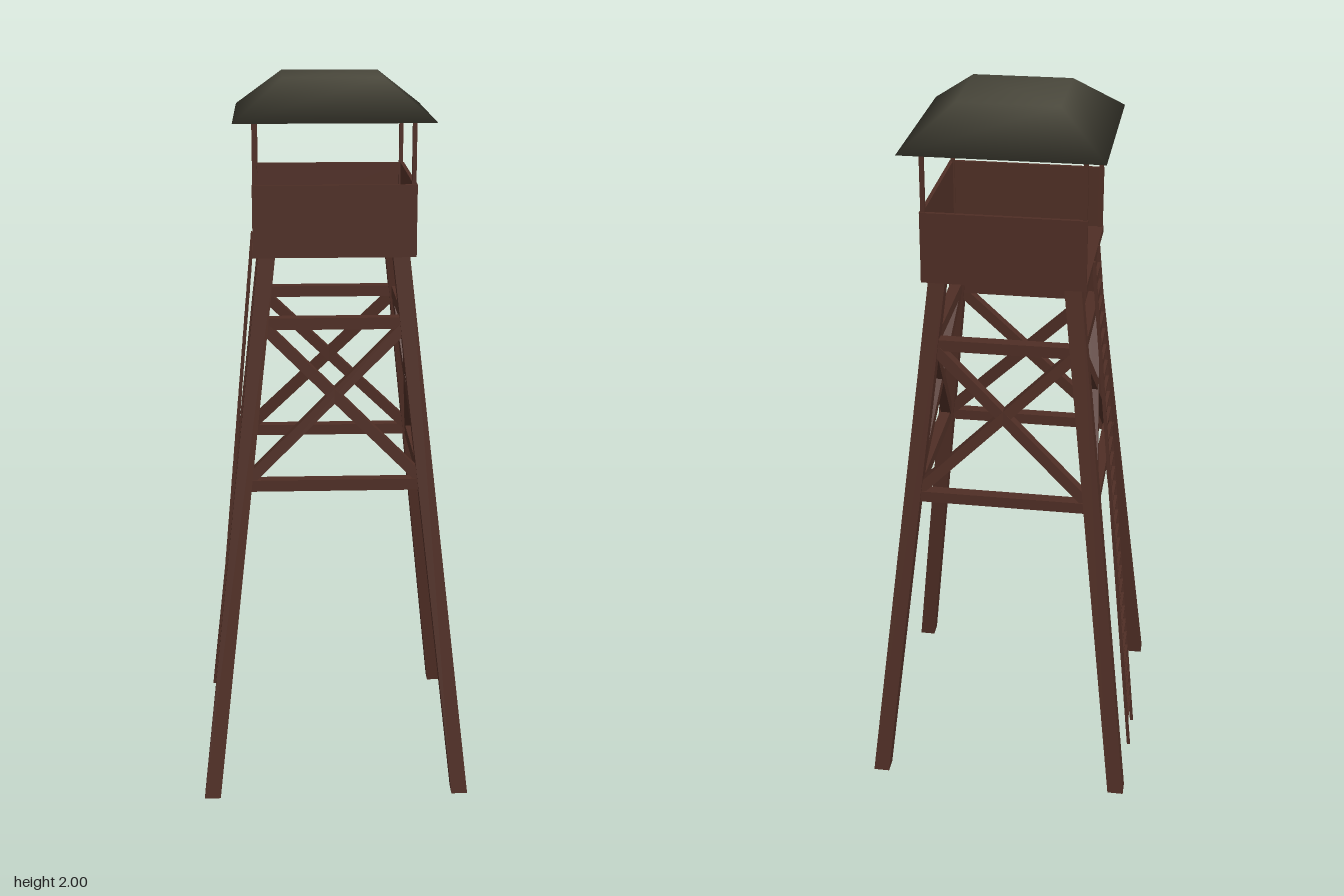
import * as THREE from 'three';
import { mergeVertices } from 'three/addons/utils/BufferGeometryUtils.js';

export function createModel() {
  const group = new THREE.Group();
  const wood = new THREE.MeshStandardMaterial({ color: 0x4f2e25 });
  const roofGreen = new THREE.MeshStandardMaterial({ color: 0x49473b });
  wood.name = 'dark wood';
  roofGreen.name = 'olive roof';

  const add = (name, geometry, material = wood, parent = group) => {
    const mesh = new THREE.Mesh(geometry, material);
    mesh.name = name;
    parent.add(mesh);
    return mesh;
  };
  const box = (name, w, h, d, x, y, z, parent) =>
    add(name, new THREE.BoxGeometry(w, h, d).translate(x, y, z), wood, parent);

  // Square beam running between two points in a plane of constant z
  const beam = (name, x1, y1, z1, x2, y2, z2, size, parent) => {
    const a = new THREE.Vector3(x1, y1, z1), b = new THREE.Vector3(x2, y2, z2);
    const x = b.clone().sub(a), length = x.length();
    x.normalize();
    const y = new THREE.Vector3(0, 0, 1).cross(x).normalize();
    const z = x.clone().cross(y);
    const mesh = add(name, new THREE.BoxGeometry(length, size, size), wood, parent);
    mesh.quaternion.setFromRotationMatrix(new THREE.Matrix4().makeBasis(x, y, z));
    mesh.position.copy(a).add(b).multiplyScalar(0.5);
  };

  // Splayed legs: upright boxes sheared towards the platform
  const legBottom = 0.07, legTop = 1.56;
  const legX = (y) => THREE.MathUtils.mapLinear(y, legBottom, legTop, 0.343, 0.174);
  for (const sx of [-1, 1]) for (const sz of [-1, 1]) {
    const g = new THREE.BoxGeometry(0.044, legTop - legBottom, 0.044);
    g.translate(0, (legTop + legBottom) / 2, 0);
    const p = g.attributes.position;
    for (let i = 0; i < p.count; i++) {
      const offset = legX(p.getY(i));
      p.setX(i, p.getX(i) + sx * offset);
      p.setZ(i, p.getZ(i) + sz * offset);
    }
    g.computeVertexNormals();
    add('leg', g);
    box('roofPost', 0.011, 0.35, 0.011, sx * 0.203, 1.735, sz * 0.203);
  }

  // Cross bracing, the same on all four sides
  const low = 0.95, high = 1.38, lowX = legX(low), highX = legX(high);
  for (let i = 0; i < 4; i++) {
    const side = new THREE.Group();
    side.name = 'bracing';
    side.rotation.y = i * Math.PI / 2;
    group.add(side);
    beam('lowerRail', -lowX, low, lowX, lowX, low, lowX, 0.031, side);
    beam('upperRail', -highX, high, highX, highX, high, highX, 0.031, side);
    for (const s of [-1, 1])
      beam('diagonalBrace', -s * lowX, low, lowX, s * highX, high, highX, 0.029, side);
  }

  // Platform with three walls, open on the ladder side
  box('floor', 0.424, 0.02, 0.424, 0, 1.565, 0);
  box('frontWall', 0.42, 0.168, 0.01, 0, 1.657, 0.207);
  box('backWall', 0.42, 0.168, 0.01, 0, 1.657, -0.207);
  box('sideWall', 0.01, 0.168, 0.42, 0.207, 1.657, 0);

  // Ladder leaning against the open side
  const ladder = new THREE.Group();
  ladder.name = 'ladder';
  group.add(ladder);
  const ladderX = (y) => THREE.MathUtils.mapLinear(y, 0, 1.575, -0.359, -0.213);
  for (const z of [-0.058, 0.058])
    beam('ladderRail', ladderX(0.001), 0.001, z, ladderX(1.575), 1.575, z, 0.009, ladder);
  for (let i = 0; i < 31; i++) {
    const y = 0.095 + i * 0.0477;
    box('rung', 0.009, 0.009, 0.112, ladderX(y), y, 0, ladder);
  }

  // Flat-topped hip roof with softly blended faces
  let roof = new THREE.CylinderGeometry(0.13 * Math.SQRT2, 0.256 * Math.SQRT2, 0.1, 4);
  roof.rotateY(Math.PI / 4).translate(0, 1.95, 0);
  roof.deleteAttribute('normal');
  roof.deleteAttribute('uv');
  roof = mergeVertices(roof, 1e-4);
  roof.computeVertexNormals();
  add('roof', roof, roofGreen);

  return group;
}
